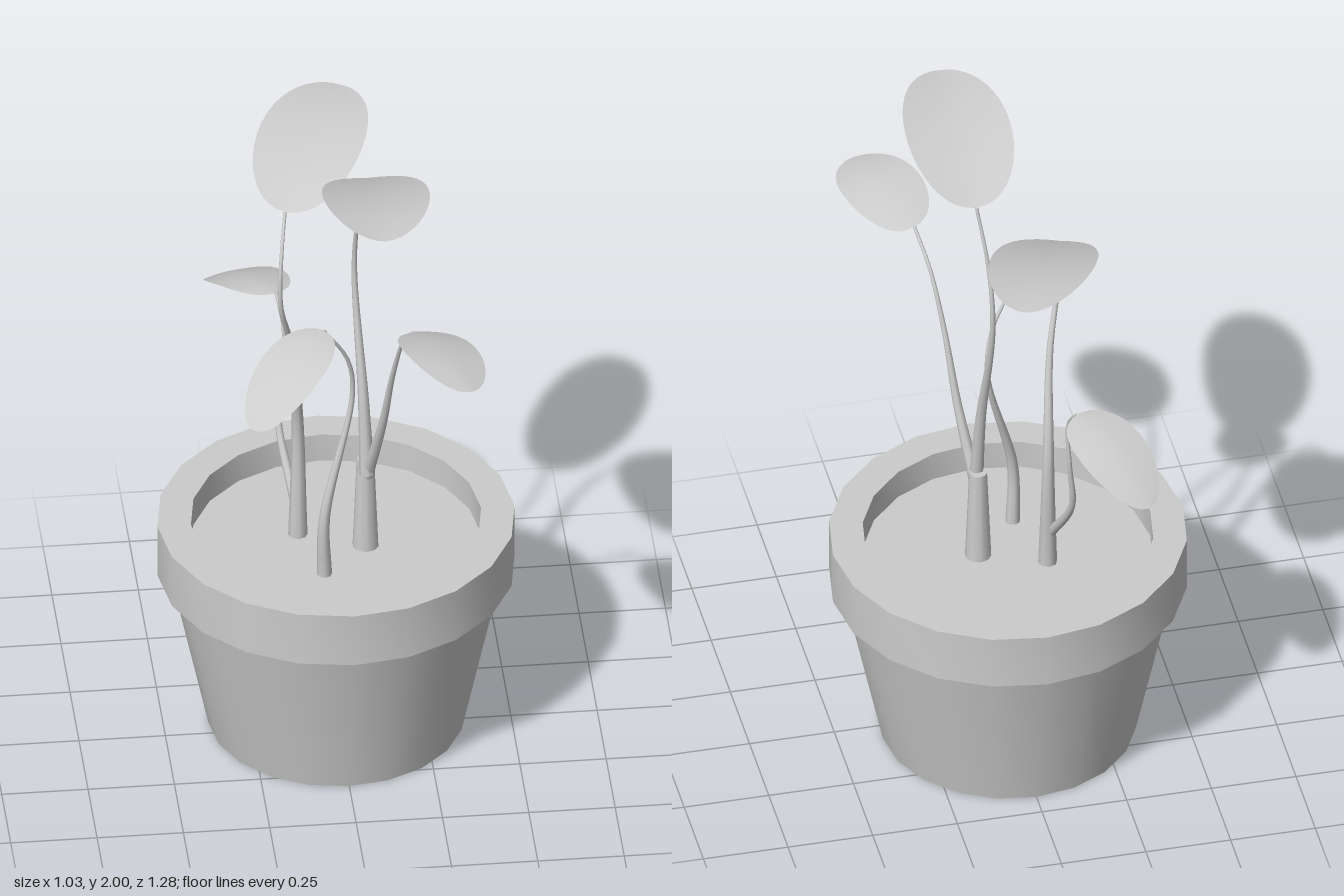
import * as THREE from 'three';
import { toCreasedNormals } from 'three/addons/utils/BufferGeometryUtils.js';

const grey = new THREE.MeshStandardMaterial({ color: 0xcccccc });
const thin = new THREE.MeshStandardMaterial({ color: 0xcccccc, side: THREE.DoubleSide });
const SIDES = 20, POT_Z = -0.058;

function add(group, name, geometry, material = grey) {
  const mesh = new THREE.Mesh(geometry, material);
  mesh.name = name;
  group.add(mesh);
  return mesh;
}

// Tube along a smooth curve, thick at the root and thin at the leaf
function stemGeometry(points, rootRadius) {
  const segments = 28, radial = 8, endRadius = 0.005;
  const curve = new THREE.CatmullRomCurve3(points);
  const geo = new THREE.TubeGeometry(curve, segments, 1, radial);
  const pos = geo.attributes.position, v = new THREE.Vector3();
  for (let k = 0; k < pos.count; k++) {
    const t = Math.floor(k / (radial + 1)) / segments;
    const c = curve.getPointAt(t);
    const r = endRadius + (rootRadius - endRadius) * (1 - t) ** 1.7;
    v.fromBufferAttribute(pos, k).sub(c).multiplyScalar(r).add(c);
    pos.setXYZ(k, v.x, v.y, v.z);
  }
  return geo;
}

// Oval blade arched over its midrib; long leaves curl up at the edges, short ones droop
function leafGeometry(base, tip, tilt) {
  const length = Math.hypot(tip.x - base.x, tip.z - base.z);
  const half = 0.305 * length, curl = (length - 0.42) * 0.12;
  const middle = base.clone().lerp(tip, 0.5);
  middle.y += 0.075;
  const rib = new THREE.QuadraticBezierCurve3(base, middle, tip);
  const side = new THREE.Vector3(tip.z - base.z, 0, base.x - tip.x).normalize();
  const across = 8, along = 20;
  const geo = new THREE.PlaneGeometry(1, 1, across, along);
  const pos = geo.attributes.position;
  for (let k = 0; k < pos.count; k++) {
    const s = (k % (across + 1)) / across * 2 - 1;
    const t = (1 - Math.cos(Math.PI * Math.floor(k / (across + 1)) / along)) / 2;
    const u = t ** 0.9;
    const width = 2 * Math.sqrt(Math.max(0, u * (1 - u)));
    const p = rib.getPoint(t).addScaledVector(side, s * width * half);
    p.y += width * (tilt * s + curl * Math.abs(s) ** 1.5);
    pos.setXYZ(k, p.x, p.y, p.z);
  }
  geo.computeVertexNormals();
  return geo;
}

// A shoot is one stem through a few bends, ending at the base of one leaf
function makeShoot(name, rootRadius, bends, leafBase, leafTip, tilt = 0) {
  const shoot = new THREE.Group();
  shoot.name = name + 'Shoot';
  const base = new THREE.Vector3(...leafBase), tip = new THREE.Vector3(...leafTip);
  const path = [...bends.map(p => new THREE.Vector3(...p)), base];
  add(shoot, name + 'Stem', stemGeometry(path, rootRadius));
  add(shoot, name + 'Leaf', leafGeometry(base, tip, tilt), thin);
  return shoot;
}

export function createModel() {
  const model = new THREE.Group();
  model.name = 'pottedPlant';

  // Tapered pot with an overhanging rim
  const profile = [[0, 0], [0.37, 0], [0.48, 0.52], [0.517, 0.52], [0.517, 0.69], [0.42, 0.69], [0.42, 0.58]]
    .map(p => new THREE.Vector2(...p));
  add(model, 'pot', toCreasedNormals(new THREE.LatheGeometry(profile, SIDES), 0.6)).position.z = POT_Z;

  // Soil disc inside the rim
  const soil = add(model, 'soil', new THREE.CircleGeometry(0.42, SIDES).rotateX(-Math.PI / 2));
  soil.position.set(0, 0.6, POT_Z);

  // Thick trunk shared by the tall front and middle front stems
  add(model, 'trunk', new THREE.CylinderGeometry(0.026, 0.038, 0.3, 10).translate(0.083, 0.75, -0.035));

  model.add(
    makeShoot('tallFront', 0.022,
      [[0.085, 0.86, -0.015], [0.078, 1.1, -0.045], [0.06, 1.5, -0.125], [0.068, 1.7, -0.095]],
      [0.09, 1.87, -0.045], [0.09, 1.99, 0.46]),
    makeShoot('tallBack', 0.028,
      [[-0.105, 0.6, -0.11], [-0.105, 1, -0.12], [-0.13, 1.3, -0.03], [-0.17, 1.5, 0.035], [-0.165, 1.65, 0.01]],
      [-0.145, 1.74, -0.085], [0.06, 1.86, -0.545], 0.01),
    makeShoot('lowBack', 0.016,
      [[-0.11, 0.7, -0.11], [-0.147, 0.9, -0.245], [-0.135, 1.05, -0.267], [-0.13, 1.21, -0.267]],
      [-0.145, 1.295, -0.33], [-0.29, 1.16, -0.635], 0.008),
    makeShoot('lowFront', 0.022,
      [[-0.05, 0.6, 0.1], [-0.05, 0.8, 0.105], [0.036, 1.18, 0.05], [0.02, 1.32, 0.07]],
      [-0.055, 1.455, 0.11], [-0.28, 1.29, 0.36]),
    makeShoot('middleFront', 0.02,
      [[0.085, 0.84, -0.03], [0.122, 1.08, 0.06], [0.145, 1.3, 0.13], [0.17, 1.47, 0.205]],
      [0.195, 1.56, 0.3], [0.315, 1.57, 0.638], -0.02),
  );
  return model;
}
